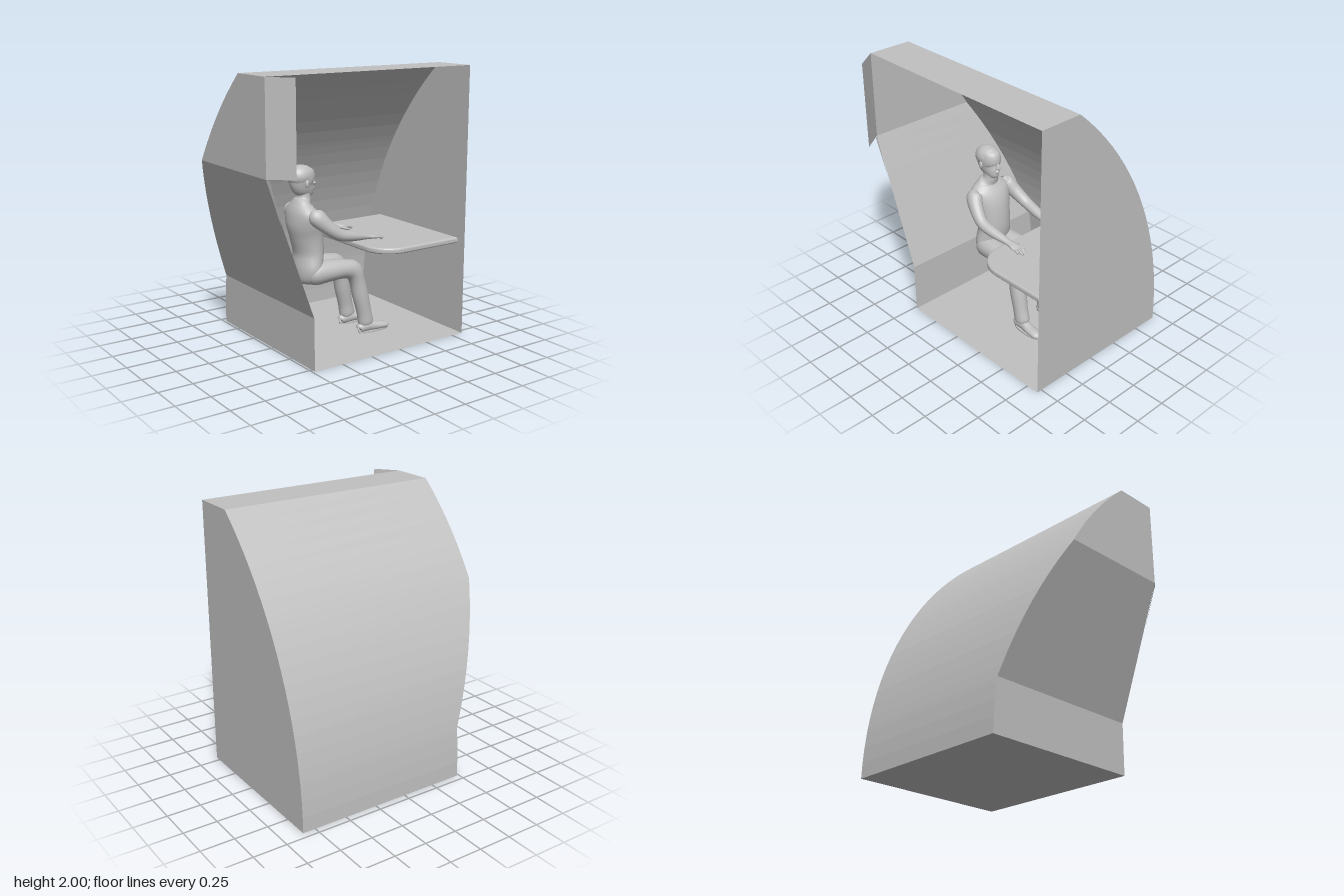
import * as THREE from 'three';

const grey = new THREE.MeshStandardMaterial({ color: 0xc0c0c0, side: THREE.DoubleSide });
grey.name = 'plain grey';

function add(parent, name, geometry) {
  const mesh = new THREE.Mesh(geometry, grey);
  mesh.name = name;
  parent.add(mesh);
  return mesh;
}

// Flat-shaded surface from a list of four-cornered (or three-cornered) faces
function faces(list) {
  const pos = [];
  for (const f of list) {
    for (let i = 2; i < f.length; i++) pos.push(...f[0], ...f[i - 1], ...f[i]);
  }
  const g = new THREE.BufferGeometry();
  g.setAttribute('position', new THREE.Float32BufferAttribute(pos, 3));
  g.computeVertexNormals();
  return g;
}

// Smooth body of oval sections; each section is [x, y, z, radius in profile, radius across]
function loft(sections, sides = 20, perSection = 5) {
  const path = new THREE.CatmullRomCurve3(sections.map(s => new THREE.Vector3(s[0], s[1], s[2])), false, 'catmullrom');
  const radii = new THREE.CatmullRomCurve3(sections.map(s => new THREE.Vector3(s[3], s[4], 0)), false, 'catmullrom');
  const rings = (sections.length - 1) * perSection;
  const pos = [], index = [];
  for (let i = 0; i <= rings; i++) {
    const c = path.getPoint(i / rings), r = radii.getPoint(i / rings), t = path.getTangent(i / rings);
    const across = new THREE.Vector3(0, 0, 1).addScaledVector(t, -t.z).normalize();
    const up = t.clone().cross(across);
    for (let j = 0; j < sides; j++) {
      const a = j / sides * Math.PI * 2;
      const p = c.clone()
        .addScaledVector(up, Math.max(r.x, 0.001) * Math.cos(a))
        .addScaledVector(across, Math.max(r.y, 0.001) * Math.sin(a));
      pos.push(p.x, p.y, p.z);
      if (i < rings) {
        const k = (j + 1) % sides, n = i * sides;
        index.push(n + j, n + sides + j, n + k, n + k, n + sides + j, n + sides + k);
      }
    }
  }
  const g = new THREE.BufferGeometry();
  g.setAttribute('position', new THREE.Float32BufferAttribute(pos, 3));
  g.setIndex(index);
  g.computeVertexNormals();
  return g;
}

function buildBooth() {
  const booth = new THREE.Group();
  booth.name = 'booth';
  const right = 0.845, front = 0.54, kickY = 0.38, bendY = 1.36;
  // Arc of the rear wall and stepped line of the side wall
  const backZ = y => 1.953 - Math.sqrt(2.653 ** 2 - y * y);
  const leftX = y => y <= kickY ? -0.482 - 0.005 * y / kickY
    : y >= bendY ? -0.845 : -0.487 - 0.358 * (y - kickY) / (bendY - kickY);
  const levels = [kickY, bendY];
  const steps = 20, sweep = Math.asin(2 / 2.653);
  for (let i = 0; i <= steps; i++) levels.push(i === steps ? 2 : 2.653 * Math.sin(sweep * i / steps));
  levels.sort((a, b) => a - b);

  const back = [], left = [], side = [];
  for (let i = 1; i < levels.length; i++) {
    const a = levels[i - 1], b = levels[i], la = leftX(a), lb = leftX(b), za = backZ(a), zb = backZ(b);
    back.push([[right, a, za], [la, a, za], [lb, b, zb], [right, b, zb]]);
    left.push([[la, a, za], [la, a, front], [lb, b, front], [lb, b, zb]]);
    side.push([[right, a, front], [right, a, za], [right, b, zb], [right, b, front]]);
  }
  add(booth, 'curvedRearWall', faces(back));
  add(booth, 'foldedSideWall', faces(left));
  add(booth, 'straightSideWall', faces(side));
  const z0 = backZ(0), z2 = backZ(2), x0 = leftX(0);
  add(booth, 'floor', faces([[[x0, 0, z0], [right, 0, z0], [right, 0, front], [x0, 0, front]]]));
  add(booth, 'roof', faces([[[-0.845, 2, front], [right, 2, front], [right, 2, z2], [-0.845, 2, z2]]]));
  // Angled flap at the opening, with a narrow sliver running down the fold
  add(booth, 'frontFlap', faces([
    [[-0.845, 1.36, 0.54], [-0.72, 1.37, 0.7], [-0.723, 2, 0.7], [-0.845, 2, 0.54]],
    [[-0.845, 1.36, 0.54], [-0.735, 1.04, 0.54], [-0.828, 1.352, 0.562]],
  ]));
  return booth;
}

function buildTable() {
  // Rounded at the seated end, flush with the wall at the other
  const x0 = 0.145, x1 = 0.828, h = 0.455, r = 0.2;
  const s = new THREE.Shape();
  s.moveTo(x1, -h);
  s.lineTo(x1, h);
  s.lineTo(x0 + r, h);
  s.absarc(x0 + r, h - r, r, Math.PI / 2, Math.PI, false);
  s.lineTo(x0, r - h);
  s.absarc(x0 + r, r - h, r, Math.PI, Math.PI * 1.5, false);
  const g = new THREE.ExtrudeGeometry(s, {
    depth: 0.015, bevelEnabled: true, bevelThickness: 0.015, bevelSize: 0.015, bevelSegments: 4, curveSegments: 16,
  });
  g.rotateX(-Math.PI / 2);
  g.translate(0, 0.698, 0);
  return g;
}

function buildFigure() {
  const man = new THREE.Group();
  man.name = 'seatedFigure';
  add(man, 'torso', loft([
    [-0.2, 0.44, 0, 0.02, 0.03], [-0.2, 0.465, 0, 0.075, 0.11], [-0.195, 0.55, 0, 0.095, 0.15],
    [-0.178, 0.67, 0, 0.103, 0.135], [-0.195, 0.8, 0, 0.115, 0.14], [-0.217, 0.9, 0, 0.115, 0.16],
    [-0.232, 0.98, 0, 0.092, 0.165], [-0.23, 1.035, 0, 0.066, 0.1], [-0.215, 1.075, 0, 0.052, 0.055],
    [-0.21, 1.16, 0, 0.052, 0.05],
  ], 28));
  add(man, 'head', loft([
    [-0.16, 1.083, 0, 0.005, 0.005], [-0.165, 1.092, 0, 0.035, 0.03], [-0.19, 1.125, 0, 0.063, 0.052],
    [-0.222, 1.17, 0, 0.092, 0.068], [-0.23, 1.225, 0, 0.103, 0.077], [-0.235, 1.275, 0, 0.09, 0.068],
    [-0.235, 1.305, 0, 0.05, 0.04], [-0.235, 1.314, 0, 0.002, 0.002],
  ], 28));
  const hair = add(man, 'hair', new THREE.SphereGeometry(1, 28, 18));
  hair.scale.set(0.098, 0.08, 0.081);
  hair.position.set(-0.243, 1.236, 0);
  add(man, 'nose', loft([
    [-0.137, 1.215, 0, 0.006, 0.008], [-0.126, 1.185, 0, 0.011, 0.012],
    [-0.127, 1.17, 0, 0.014, 0.016], [-0.135, 1.162, 0, 0.002, 0.002],
  ], 10));
  add(man, 'lips', new THREE.SphereGeometry(0.017, 12, 8)).position.set(-0.141, 1.137, 0);

  for (const m of [1, -1]) {
    const ear = add(man, 'ear', new THREE.SphereGeometry(1, 14, 10));
    ear.scale.set(0.016, 0.028, 0.012);
    ear.position.set(-0.232, 1.188, m * 0.075);

    add(man, 'arm', loft([
      [-0.235, 1.0, m * 0.13, 0.02, 0.02], [-0.215, 0.965, m * 0.16, 0.062, 0.055],
      [-0.15, 0.895, m * 0.195, 0.053, 0.05], [-0.06, 0.828, m * 0.22, 0.043, 0.043],
      [0.05, 0.798, m * 0.215, 0.037, 0.04], [0.19, 0.773, m * 0.2, 0.021, 0.027],
      [0.25, 0.765, m * 0.196, 0.017, 0.038], [0.285, 0.758, m * 0.195, 0.011, 0.036],
      [0.295, 0.756, m * 0.195, 0.001, 0.02],
    ]));
    for (let f = 0; f < 4; f++) {
      const z = m * (0.169 + f * 0.018), tip = [0.335, 0.355, 0.35, 0.325][f];
      add(man, 'finger', loft([
        [0.265, 0.762, z, 0.008, 0.008], [0.31, 0.757, z, 0.009, 0.009],
        [tip - 0.01, 0.745, z, 0.008, 0.008], [tip, 0.74, z, 0.001, 0.001],
      ], 8, 3));
    }
    add(man, 'thumb', loft([
      [0.21, 0.765, m * 0.182, 0.011, 0.011], [0.255, 0.754, m * 0.152, 0.011, 0.011],
      [0.285, 0.744, m * 0.142, 0.009, 0.009], [0.295, 0.741, m * 0.14, 0.001, 0.001],
    ], 8, 3));

    add(man, 'leg', loft([
      [-0.25, 0.525, m * 0.075, 0.03, 0.03], [-0.19, 0.525, m * 0.08, 0.083, 0.08],
      [-0.05, 0.53, m * 0.09, 0.079, 0.083], [0.07, 0.525, m * 0.1, 0.07, 0.073],
      [0.145, 0.5, m * 0.108, 0.074, 0.064], [0.182, 0.42, m * 0.11, 0.06, 0.06],
      [0.21, 0.3, m * 0.115, 0.062, 0.06], [0.24, 0.17, m * 0.12, 0.057, 0.053],
      [0.258, 0.085, m * 0.12, 0.06, 0.052], [0.26, 0.075, m * 0.12, 0.03, 0.03],
    ]));
    add(man, 'shoe', loft([
      [0.192, 0.042, m * 0.12, 0.012, 0.015], [0.205, 0.047, m * 0.12, 0.036, 0.035],
      [0.28, 0.052, m * 0.122, 0.042, 0.037], [0.35, 0.043, m * 0.127, 0.032, 0.042],
      [0.43, 0.037, m * 0.132, 0.024, 0.038], [0.458, 0.032, m * 0.134, 0.003, 0.01],
    ]));
    const sole = add(man, 'sole', new THREE.CylinderGeometry(1, 1, 0.014, 24));
    sole.scale.set(0.134, 1, 0.042);
    sole.position.set(0.326, 0.014, m * 0.126);
  }
  return man;
}

export function createModel() {
  const model = new THREE.Group();
  model.name = 'boothWithSeatedFigure';
  model.add(buildBooth(), buildFigure());
  add(model, 'tableTop', buildTable());
  return model;
}
